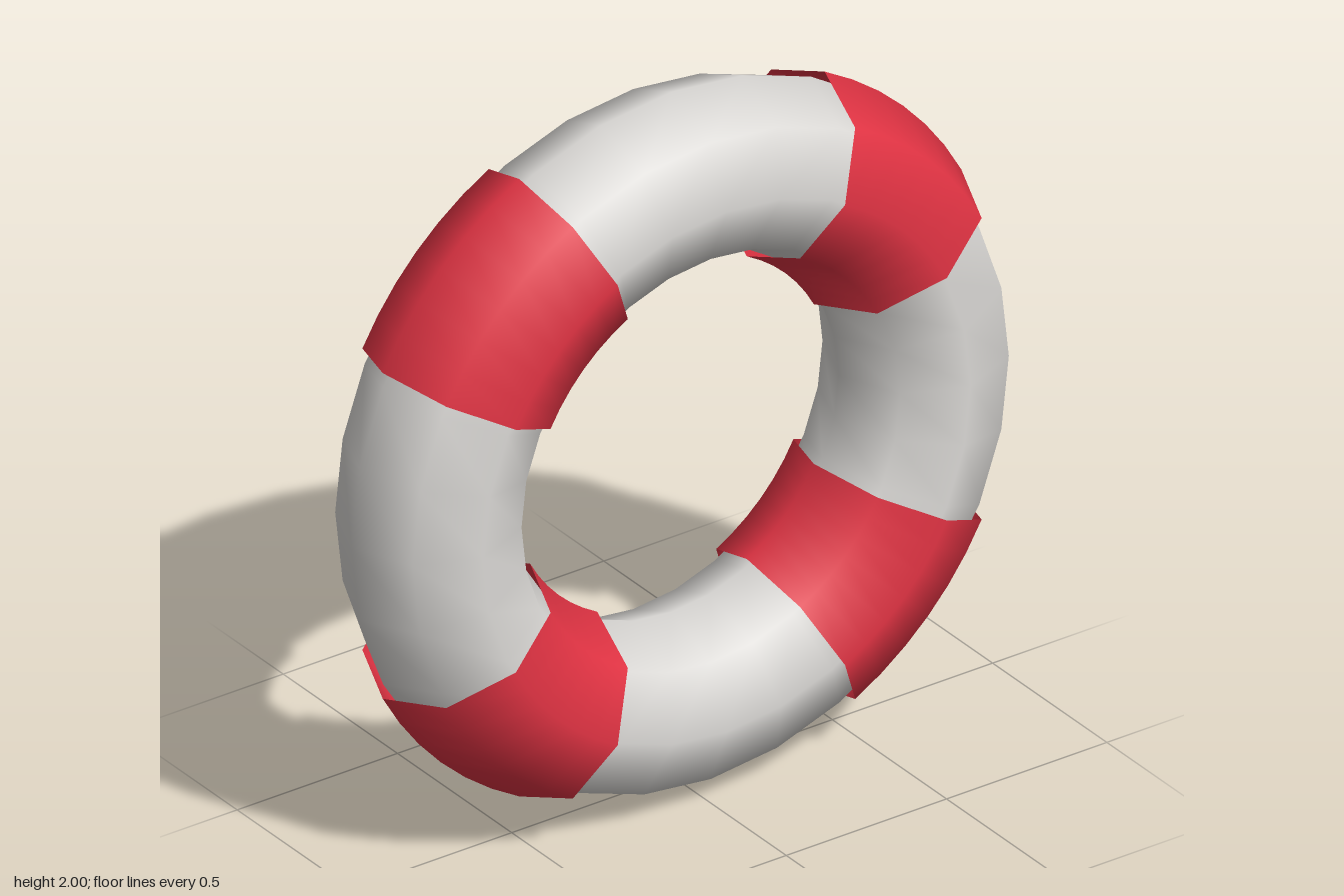
import * as THREE from 'three';

const RING_RADIUS = 0.76;
const TUBE_RADIUS = 0.24;
const BAND_RADIUS = 0.26;
const BAND_ARC = 0.6;

export function createModel() {
  const model = new THREE.Group();
  model.name = 'lifebuoy';

  const white = new THREE.MeshStandardMaterial({ color: 0xd9d7d4 });
  white.name = 'off white';
  const red = new THREE.MeshStandardMaterial({ color: 0xe03343, side: THREE.DoubleSide });
  red.name = 'red';

  // Upright float ring
  const ring = new THREE.Mesh(new THREE.TorusGeometry(RING_RADIUS, TUBE_RADIUS, 8, 28), white);
  ring.name = 'floatRing';
  ring.position.y = 1;
  model.add(ring);

  // Four open sleeves wrapped round the ring on its diagonals
  const bandGeometry = new THREE.TorusGeometry(RING_RADIUS, BAND_RADIUS, 8, 6, BAND_ARC);
  bandGeometry.rotateZ(-BAND_ARC / 2);
  const names = ['upperLeftBand', 'upperRightBand', 'lowerRightBand', 'lowerLeftBand'];
  names.forEach((name, i) => {
    const band = new THREE.Mesh(bandGeometry, red);
    band.name = name;
    band.position.y = 1;
    band.rotation.z = Math.PI / 4 + i * Math.PI / 2;
    model.add(band);
  });

  return model;
}
